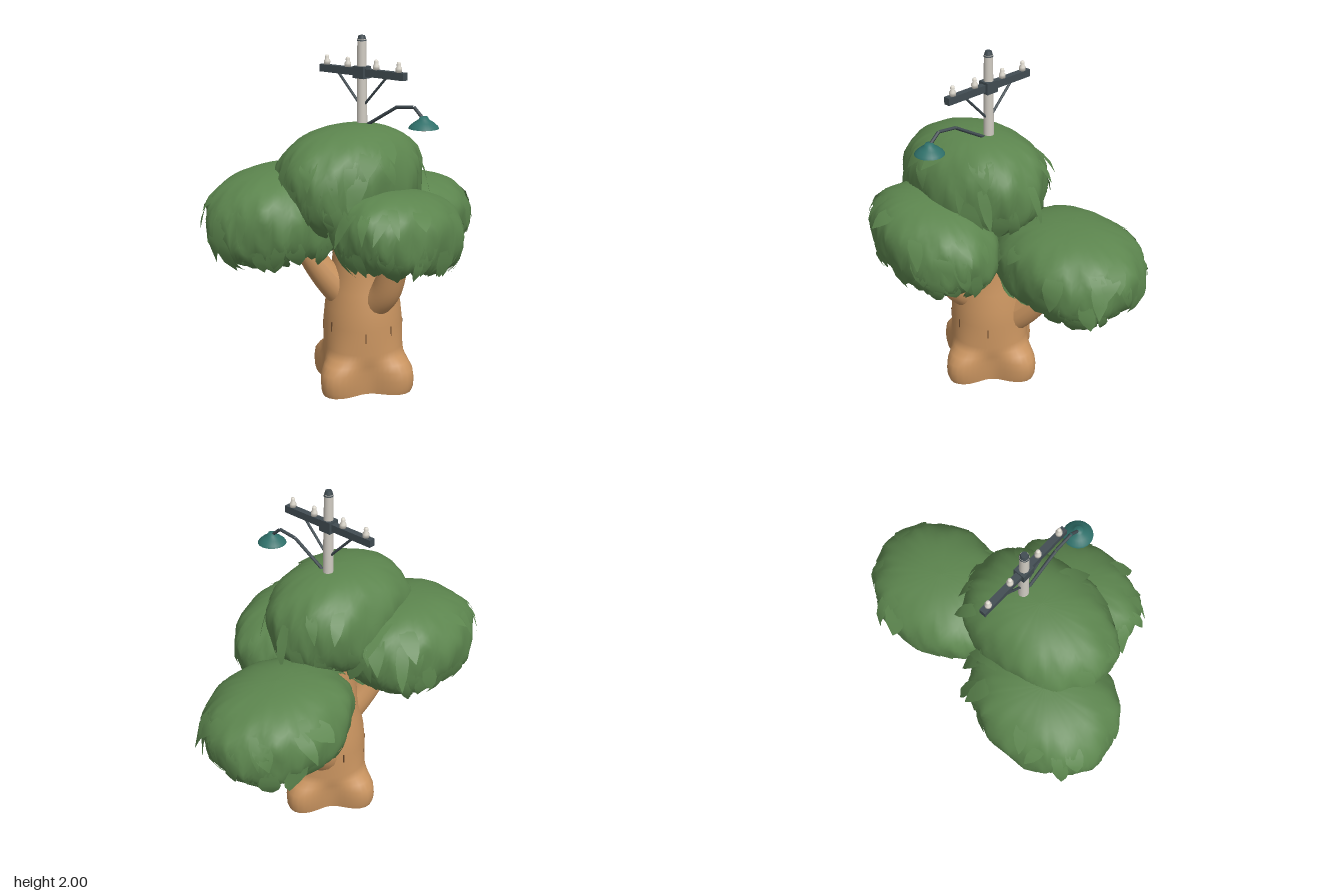
import * as THREE from 'three';
import { mergeGeometries } from 'three/addons/utils/BufferGeometryUtils.js';

const mat = (name, color, side = THREE.FrontSide) => {
  const m = new THREE.MeshStandardMaterial({ color, side });
  m.name = name;
  return m;
};

// Small seeded random generator
function seeded(seed) {
  let s = seed;
  return () => (s = (s * 16807) % 2147483647) / 2147483647;
}

// Closed rings of n points, rows running upward along the outside
function loft(rowCount, n, point) {
  const pos = [], idx = [];
  for (let i = 0; i < rowCount; i++)
    for (let j = 0; j < n; j++) pos.push(...point(i, (j / n) * Math.PI * 2, j));
  for (let i = 0; i < rowCount - 1; i++)
    for (let j = 0; j < n; j++) {
      const a = i * n + j, b = i * n + (j + 1) % n;
      idx.push(a, a + n, b, b, a + n, b + n);
    }
  const g = new THREE.BufferGeometry();
  g.setAttribute('position', new THREE.Float32BufferAttribute(pos, 3));
  g.setIndex(idx);
  g.computeVertexNormals();
  return g;
}

const signedPow = (v, e) => Math.sign(v) * Math.pow(Math.abs(v), e);

// Lumpy flattened dome: t is the angle around, phi the angle from the top
function domePoint(c, t, phi, lift = 0) {
  const s = Math.max(Math.sin(phi), 0), k = Math.cos(phi);
  const bump = 1 + lift + s * (0.022 * Math.sin(5 * t + c.seed + 3 * phi)
    + 0.016 * Math.sin(9 * t - 5 * phi + c.seed * 2) + 0.01 * Math.sin(17 * t + 8 * phi));
  // The lower half is steeper, like hanging foliage
  const r = Math.pow(s, k > 0 ? 0.85 : 0.62) * bump;
  const y = signedPow(k, k > 0 ? 0.9 : 0.8) * (1 + lift);
  const x = signedPow(Math.cos(t), 0.93) * r * c.r[0];
  return [c.p[0] + x, c.p[1] + y * c.r[1] + x * c.tilt, c.p[2] + signedPow(Math.sin(t), 0.93) * r * c.r[2]];
}

function canopyGeometry(c) {
  const rand = seeded(c.seed * 977 + 13), n = 96, rows = 18;
  const rim = Array.from({ length: n }, (_, j) => 2.15 + [0, 0.18, 0.34, 0.16][j % 4] * (0.6 + 0.6 * rand()));
  // Outer dome with a ragged lower edge
  const top = loft(rows, n, (i, t, j) => domePoint(c, t, rim[j] * (1 - i / (rows - 1))));
  // Hollow underside with radial folds
  const under = loft(7, n, (i, t, j) => {
    const f = i / 6, e = domePoint(c, t, rim[j]);
    const fold = (j % 4 === 2 ? -0.025 : 0.012) * Math.sin(f * Math.PI);
    const hub = [c.p[0], c.p[1] - 0.55 * c.r[1], c.p[2]];
    return [hub[0] + (e[0] - hub[0]) * f, hub[1] + (e[1] - hub[1]) * f * f + fold, hub[2] + (e[2] - hub[2]) * f];
  });
  // Overlapping leaf blades lying on the dome and hanging over the edge
  const pos = [], idx = [], widths = [0.4, 0.9, 1, 0.65, 0.04];
  for (let b = 0; b < 78; b++) {
    const t0 = rand() * Math.PI * 2, hang = b < 58;
    const start = hang ? 1.45 + rand() * 0.5 : 0.45 + rand() * 0.8;
    const len = hang ? 0.65 + rand() * 0.25 : 0.5 + rand() * 0.4;
    const skew = (rand() - 0.5) * 0.45, w = 0.07 + rand() * 0.08;
    const out = 0.01 + 0.13 * Math.pow(rand(), 3);
    const base = pos.length / 3;
    widths.forEach((wk, k) => {
      const f = k / 4, phi = start + len * f, t = t0 + skew * f;
      const half = w * wk / Math.max(Math.sin(phi), 0.5);
      const lift = -0.012 + 0.02 * Math.min(1, f * 2) + out * f * f;
      pos.push(...domePoint(c, t - half, phi, lift), ...domePoint(c, t + half, phi, lift));
      if (k < 4) {
        const a = base + k * 2;
        idx.push(a, a + 1, a + 2, a + 1, a + 3, a + 2);
      }
    });
  }
  const blades = new THREE.BufferGeometry();
  blades.setAttribute('position', new THREE.Float32BufferAttribute(pos, 3));
  blades.setIndex(idx);
  blades.computeVertexNormals();
  return mergeGeometries([top, under, blades]);
}

// Tube whose radius runs from r0 to r1
function taperedTube(points, r0, r1, sides = 18, seg = 16) {
  const curve = new THREE.CatmullRomCurve3(points.map(p => new THREE.Vector3(...p)));
  const g = new THREE.TubeGeometry(curve, seg, 1, sides), p = g.attributes.position;
  const v = new THREE.Vector3();
  for (let i = 0; i < p.count; i++) {
    const f = Math.floor(i / (sides + 1)) / seg, c = curve.getPointAt(f);
    v.fromBufferAttribute(p, i).sub(c).multiplyScalar(r0 + (r1 - r0) * f).add(c);
    p.setXYZ(i, v.x, v.y, v.z);
  }
  g.computeVertexNormals();
  return g;
}

export function createModel() {
  const model = new THREE.Group();
  const bark = mat('bark', 0xc8935f), barkDark = mat('bark slit', 0x6b4a2e);
  const leaf = mat('leaf green', 0x5c854e, THREE.DoubleSide);
  const concrete = mat('pole grey', 0xd0cbc2), metal = mat('dark metal', 0x414c52);
  const teal = mat('teal enamel', 0x2f706a, THREE.DoubleSide), porcelain = mat('porcelain', 0xe2ddd2);
  const add = (name, g, m, x = 0, y = 0, z = 0, parent = model) => {
    const o = new THREE.Mesh(g, m);
    o.name = name;
    o.position.set(x, y, z);
    parent.add(o);
    return o;
  };
  const X = -0.05, Z = -0.02;

  // Trunk: height, radius, bulge of the four root lobes
  const rows = [[0.02, 0.222, 0.1], [0.05, 0.225, 0.108], [0.1, 0.228, 0.109], [0.15, 0.228, 0.1], [0.19, 0.228, 0.068],
    [0.22, 0.23, 0.025], [0.26, 0.228, 0.006], [0.4, 0.225, 0], [0.5, 0.215, 0], [0.6, 0.195, 0],
    [0.7, 0.175, 0], [0.85, 0.165, 0], [1.08, 0.15, 0]];
  const trunkRing = (row, t, k = 1) => {
    const r = k * (row[1] + row[2] * (Math.pow((1 + Math.cos(4 * (t + 0.08))) / 2, 1.2) * 1.12 - 0.1));
    return [X + Math.cos(t) * r, row[0], Z + Math.sin(t) * r];
  };
  add('trunk', loft(rows.length, 64, (i, t) => trunkRing(rows[i], t)), bark);
  add('trunkBase', loft(2, 64, (i, t) => trunkRing(rows[0], t, i)), bark);

  // Branches reaching into the side canopies
  add('frontBranch', taperedTube([[-0.09, 0.52, 0.09], [-0.1, 0.62, 0.19], [-0.11, 0.76, 0.25], [-0.12, 0.95, 0.31]], 0.09, 0.07), bark);
  add('leftBranch', taperedTube([[0.02, 0.36, -0.07], [0.15, 0.46, -0.11], [0.27, 0.6, -0.15], [0.42, 0.82, -0.19]], 0.135, 0.03), bark);
  add('rightBranch', taperedTube([[-0.13, 0.54, -0.06], [-0.22, 0.66, -0.12], [-0.29, 0.78, -0.17], [-0.38, 0.98, -0.24]], 0.1, 0.05), bark);

  // Narrow slits in the bark
  [[0.8, 0.36], [1.65, 0.38], [2.35, 0.36], [3.3, 0.4], [3.9, 0.37], [4.3, 0.33], [5.1, 0.39]].forEach(([t, y]) => {
    const s = add('barkSlit', new THREE.BoxGeometry(0.006, 0.055, 0.007), barkDark,
      X + Math.cos(t) * 0.225, y, Z + Math.sin(t) * 0.225);
    s.rotation.y = Math.PI / 2 - t;
  });

  // Leaf canopies: centre, radii, sideways slope
  [['topCanopy', [-0.16, 1.25, -0.01], [0.45, 0.285, 0.335], 0.02],
    ['frontCanopy', [-0.135, 1.0, 0.31], [0.4, 0.23, 0.3], -0.12],
    ['leftCanopy', [0.465, 0.905, -0.135], [0.43, 0.235, 0.36], -0.02],
    ['backCanopy', [-0.43, 1.07, -0.27], [0.43, 0.255, 0.35], 0.04]
  ].forEach(([name, p, r, tilt], i) => add(name, canopyGeometry({ p, r, tilt, seed: i + 2 }), leaf));

  // Utility pole through the tree
  const pole = new THREE.Group();
  pole.name = 'utilityPole';
  pole.position.set(X, 0, Z);
  model.add(pole);
  const part = (name, g, m, x, y, z) => add(name, g, m, x, y, z, pole);
  part('poleShaft', new THREE.CylinderGeometry(0.024, 0.045, 1.98, 20), concrete, 0, 0.99, 0);
  part('poleCap', new THREE.CylinderGeometry(0.017, 0.026, 0.03, 20), metal, 0, 1.985, 0);
  part('crossarm', new THREE.BoxGeometry(0.036, 0.04, 0.59), metal, 0, 1.805, 0);
  part('collar', new THREE.BoxGeometry(0.066, 0.064, 0.075), metal, 0, 1.805, 0);
  const insulator = new THREE.LatheGeometry([[0, 0], [0.017, 0], [0.018, 0.02], [0.011, 0.03], [0.012, 0.042], [0.009, 0.052], [0, 0.053]]
    .map(p => new THREE.Vector2(...p)), 14);
  for (const s of [-1, 1]) {
    part('insulator', insulator, porcelain, 0, 1.825, s * 0.1);
    part('insulator', insulator, porcelain, 0, 1.825, s * 0.253);
    part('brace', taperedTube([[0, 1.635, s * 0.02], [0, 1.79, s * 0.17]], 0.007, 0.007, 8, 2), metal, 0, 0, 0);
  }

  // Street lamp on a bent arm
  const bends = [[0, 1.515, 0.02], [0, 1.642, 0.24], [0, 1.655, 0.355], [0, 1.6, 0.418]];
  for (let i = 0; i < bends.length - 1; i++)
    part('lampArm', taperedTube([bends[i], bends[i + 1]], 0.009, 0.009, 8, 1), metal, 0, 0, 0);
  const shade = [[0.08, 0], [0.074, 0.011], [0.052, 0.03], [0.027, 0.046], [0.02, 0.06], [0, 0.062]];
  part('lampShade', new THREE.LatheGeometry(shade.map(p => new THREE.Vector2(...p)), 24), teal, 0, 1.553, 0.42);
  part('bulb', new THREE.SphereGeometry(0.03, 16, 10), porcelain, 0, 1.565, 0.42);
  return model;
}
